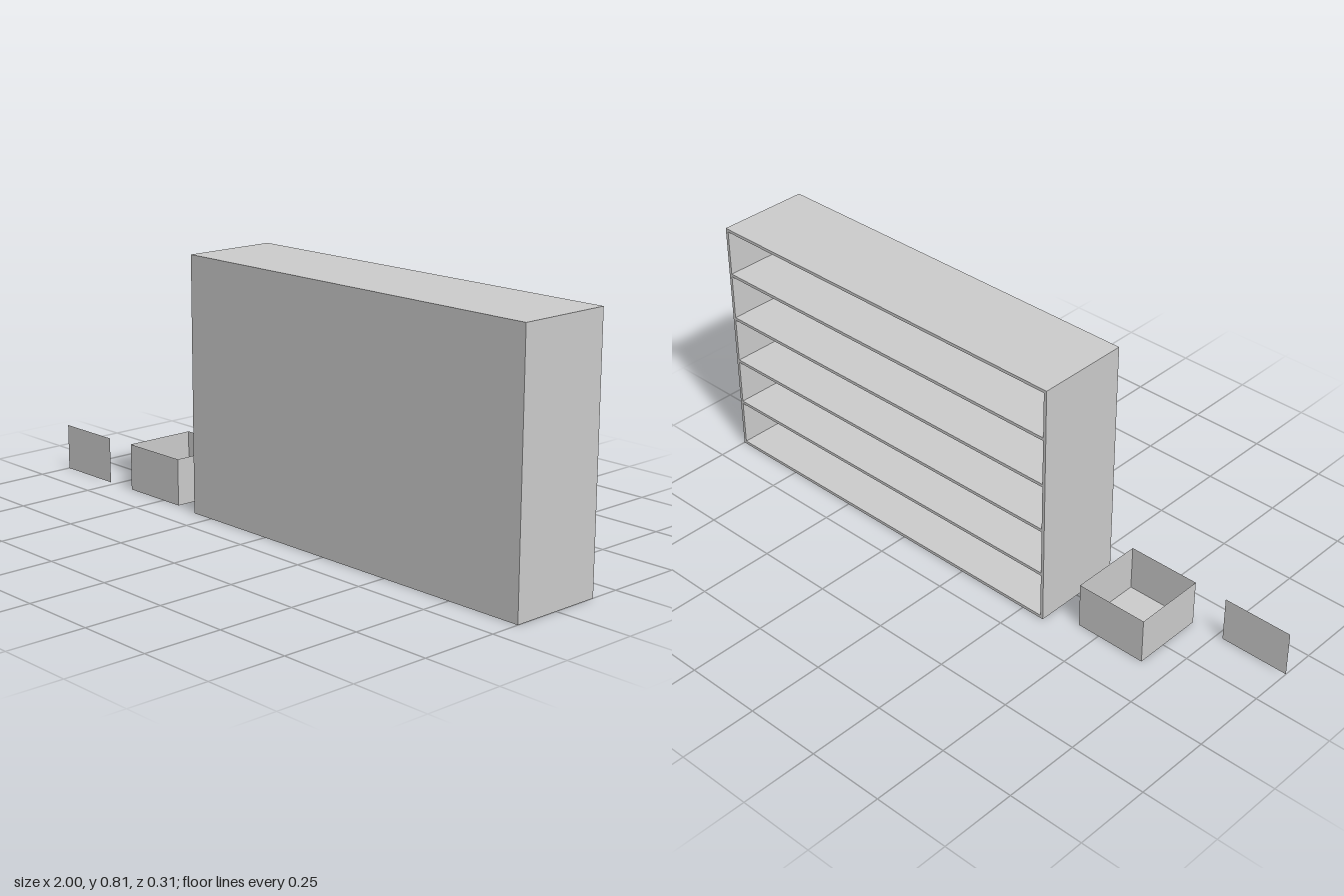
import * as THREE from 'three';

export function createModel() {
  const model = new THREE.Group();
  const mat = new THREE.MeshStandardMaterial({ color: 0xcccccc, flatShading: true });
  const thin = new THREE.MeshStandardMaterial({ color: 0xcccccc, flatShading: true, side: THREE.DoubleSide });

  // Box given by its lower and upper corners
  function board(parent, name, [x0, y0, z0], [x1, y1, z1]) {
    const mesh = new THREE.Mesh(new THREE.BoxGeometry(x1 - x0, y1 - y0, z1 - z0), mat);
    mesh.position.set((x0 + x1) / 2, (y0 + y1) / 2, (z0 + z1) / 2);
    mesh.name = name;
    parent.add(mesh);
  }

  // Thin sheet, turned about x and y
  function sheet(parent, name, w, h, pos, rotX = 0, rotY = 0) {
    const mesh = new THREE.Mesh(new THREE.PlaneGeometry(w, h), thin);
    mesh.position.set(...pos);
    mesh.rotation.set(rotX, rotY, 0);
    mesh.name = name;
    parent.add(mesh);
  }

  // Shelf unit: closed at the front, open at the back, five bays
  const shelfUnit = new THREE.Group();
  shelfUnit.name = 'shelfUnit';
  const L = -0.33, R = 1, H = 0.81, D = 0.153, t = 0.01, bays = 5;
  board(shelfUnit, 'closedPanel', [L, 0, D - t], [R, H, D]);
  board(shelfUnit, 'rightSide', [L, 0, -D], [L + t, H, D - t]);
  board(shelfUnit, 'leftSide', [R - t, 0, -D], [R, H, D - t]);
  for (let i = 0; i <= bays; i++) {
    const y = i * (H - t) / bays;
    const name = i === 0 ? 'bottomBoard' : i === bays ? 'topBoard' : 'shelf';
    board(shelfUnit, name, [L + t, y, -D], [R - t, y + t, D - t]);
  }
  model.add(shelfUnit);

  // Open-topped bin of thin sheets
  const bin = new THREE.Group();
  bin.name = 'bin';
  const s = 0.238, h = 0.15;
  bin.position.set(-0.544, 0, 0.02);
  sheet(bin, 'binFloor', s, s, [0, 0.001, 0], Math.PI / 2);
  for (const k of [-1, 1]) {
    sheet(bin, k > 0 ? 'binFront' : 'binBack', s, h, [0, h / 2, k * s / 2]);
    sheet(bin, k > 0 ? 'binLeft' : 'binRight', s, h, [k * s / 2, h / 2, 0], 0, Math.PI / 2);
  }
  model.add(bin);

  // Loose flat panel in line with the front of the bin
  sheet(model, 'loosePanel', 0.228, 0.148, [-0.886, 0.074, 0.14]);

  return model;
}
